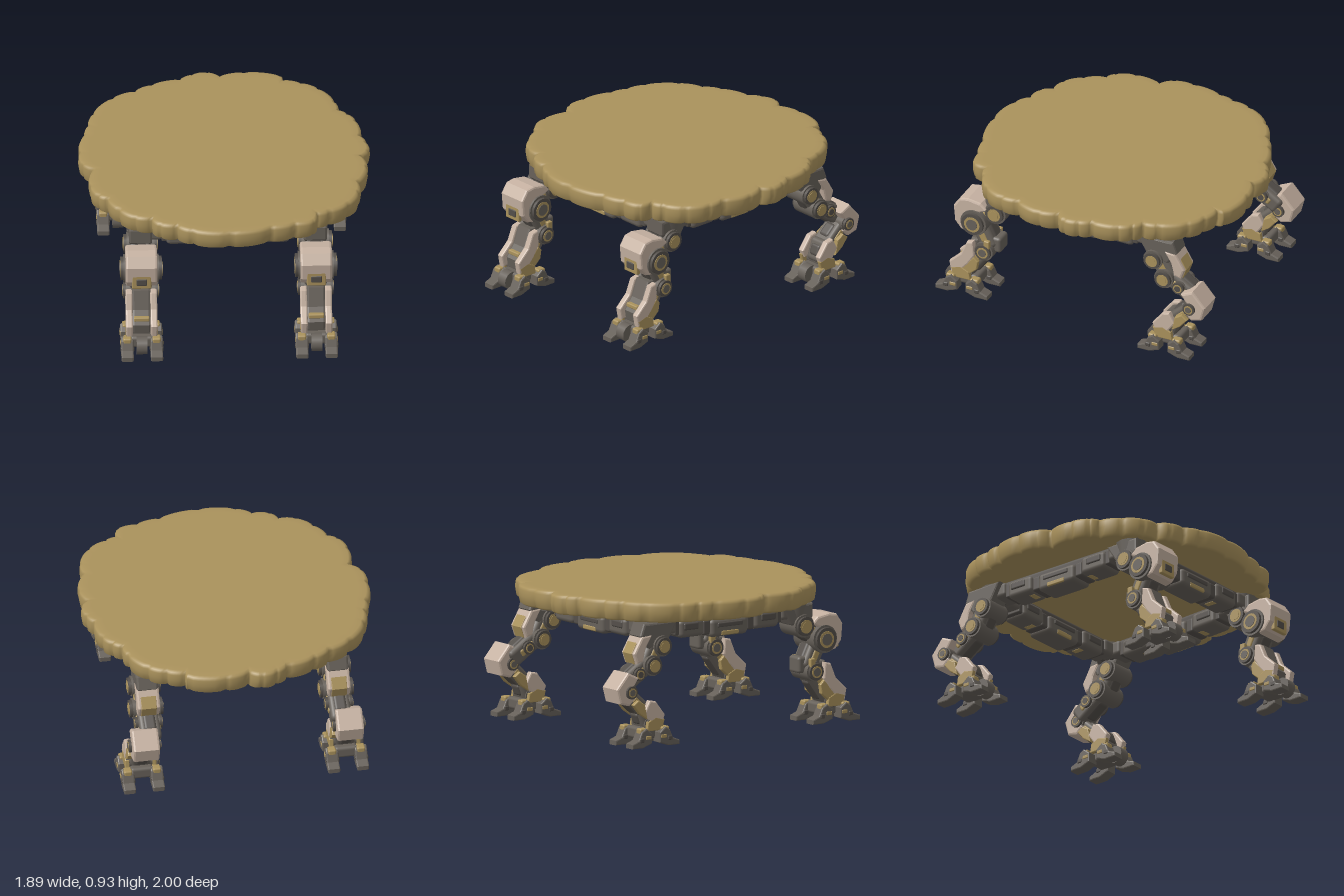
import * as THREE from 'three';
import { RoundedBoxGeometry } from 'three/addons/geometries/RoundedBoxGeometry.js';

const material = (name, color) => {
  const m = new THREE.MeshStandardMaterial({ color });
  m.name = name;
  return m;
};
const tan = material('tan', 0xaa925c);
const beige = material('beige', 0xc6b2a2);
const grey = material('grey', 0x67615a);
const dark = material('dark grey', 0x544f4a);

function add(parent, name, geometry, mat, x = 0, y = 0, z = 0) {
  const mesh = new THREE.Mesh(geometry, mat);
  mesh.name = name;
  mesh.position.set(x, y, z);
  parent.add(mesh);
  return mesh;
}

const box = (g, name, mat, w, h, d, x, y, z) =>
  add(g, name, new RoundedBoxGeometry(w, h, d, 2, Math.min(w, h, d) * 0.25), mat, x, y, z);

// Bevelled side profile of [z, y] points, extruded across x
function profile(g, name, mat, points, width, x = 0, bevel = 0.014) {
  const shape = new THREE.Shape(points.map(p => new THREE.Vector2(...p)));
  const geo = new THREE.ExtrudeGeometry(shape, {
    depth: width - 2 * bevel, bevelEnabled: true, bevelThickness: bevel,
    bevelSize: bevel, bevelOffset: -bevel, bevelSegments: 2,
  });
  geo.translate(0, 0, bevel - width / 2).rotateY(-Math.PI / 2);
  return add(g, name, geo, mat, x);
}

// Round joint with a thin tan ring and a core on both sides
function joint(g, name, z, y, r, width, core = grey) {
  const layers = [[r, -0.03, grey], [r * 0.84, 0.008, dark], [r * 0.6, 0.014, tan], [r * 0.42, 0.02, core]];
  for (const [radius, extra, mat] of layers)
    add(g, name, new THREE.CylinderGeometry(radius, radius, width + extra, 20).rotateZ(Math.PI / 2), mat, 0, y, z);
}

// Boxy link between two [z, y] points, with tan strips on its sides
function limb(g, name, a, b, width, thick) {
  const dz = b[0] - a[0], dy = b[1] - a[1], len = Math.hypot(dz, dy);
  const part = (mat, w, t, l) => {
    const m = box(g, name, mat, w, t, l, 0, (a[1] + b[1]) / 2, (a[0] + b[0]) / 2);
    m.rotation.x = -Math.atan2(dy, dz);
  };
  part(grey, width, thick, len + 0.04);
  part(tan, width + 0.014, thick * 0.4, len * 0.55);
  part(dark, width * 0.6, thick + 0.02, len * 0.7);
}

// Four-toed foot centred under the ankle
function makeFoot(z) {
  const foot = new THREE.Group();
  foot.name = 'foot';
  foot.position.z = z;
  box(foot, 'footHub', grey, 0.15, 0.08, 0.19, 0, 0.085, 0);
  joint(foot, 'ankle', 0, 0.14, 0.05, 0.18);
  for (const end of [1, -1]) {
    for (const side of [1, -1]) {
      const x = side * 0.095;
      const pts = [[0.03, 0.025], [0.03, 0.09], [0.075, 0.125], [0.11, 0.105], [0.135, 0.05], [0.187, 0.03], [0.187, 0], [0.1, 0]];
      const toe = pts.map(([a, b]) => [a * end, b]);
      profile(foot, 'toe', grey, toe, 0.08, x, 0.008);
      box(foot, 'toePanel', tan, 0.055, 0.045, 0.06, x, 0.103, end * 0.085);
      box(foot, 'toeSide', tan, 0.088, 0.025, 0.045, x, 0.065, end * 0.06);
      box(foot, 'toeKnuckle', dark, 0.09, 0.03, 0.035, x, 0.05, end * 0.11);
    }
  }
  add(foot, 'frontRoller', new THREE.CylinderGeometry(0.06, 0.06, 0.07, 16).rotateZ(Math.PI / 2), grey, 0, 0.07, 0.1);
  for (const side of [1, -1]) {
    const guard = [[-0.05, 0.1], [-0.04, 0.16], [0.02, 0.19], [0.09, 0.17], [0.07, 0.1]];
    profile(foot, 'ankleGuard', tan, guard, 0.03, side * 0.088, 0.006);
  }
  return foot;
}

function makeFrontLeg() {
  const g = new THREE.Group();
  g.name = 'frontLeg';
  profile(g, 'hipHousing', grey, [[0.42, 0.79], [0.67, 0.79], [0.67, 0.7], [0.6, 0.61], [0.5, 0.66]], 0.15);
  joint(g, 'hipJoint', 0.59, 0.645, 0.075, 0.21, tan);
  limb(g, 'thigh', [0.6, 0.65], [0.74, 0.56], 0.15, 0.13);
  joint(g, 'kneeJoint', 0.735, 0.55, 0.092, 0.26);
  profile(g, 'kneeArmour', beige, [[0.885, 0.64], [0.875, 0.53], [0.83, 0.475], [0.78, 0.465], [0.79, 0.58],
    [0.72, 0.62], [0.64, 0.655], [0.69, 0.7], [0.78, 0.715], [0.84, 0.705]], 0.205);
  box(g, 'kneePanel', tan, 0.125, 0.1, 0.03, 0, 0.53, 0.864);
  box(g, 'kneeSlot', dark, 0.07, 0.05, 0.03, 0, 0.53, 0.869);
  limb(g, 'lowerThigh', [0.73, 0.53], [0.65, 0.37], 0.15, 0.12);
  box(g, 'hockBlock', grey, 0.12, 0.11, 0.08, 0, 0.385, 0.605);
  joint(g, 'hockJoint', 0.67, 0.34, 0.065, 0.22);
  limb(g, 'shin', [0.68, 0.34], [0.82, 0.15], 0.14, 0.13);
  for (const side of [1, -1]) {
    profile(g, 'shinArmour', beige, [[0.745, 0.395], [0.79, 0.385], [0.83, 0.29], [0.915, 0.21], [0.9, 0.13],
      [0.85, 0.14], [0.78, 0.22], [0.735, 0.29]], 0.045, side * 0.08, 0.01);
    profile(g, 'shinPanel', tan, [[0.74, 0.28], [0.79, 0.225], [0.85, 0.15], [0.8, 0.12], [0.72, 0.19], [0.71, 0.25]], 0.035, side * 0.082, 0.006);
    box(g, 'hockPanel', tan, 0.03, 0.06, 0.04, side * 0.095, 0.4, 0.645);
  }
  profile(g, 'shinFront', grey, [[0.72, 0.4], [0.775, 0.4], [0.82, 0.28], [0.88, 0.2], [0.87, 0.14], [0.76, 0.16]], 0.12);
  box(g, 'shinBar', tan, 0.1, 0.03, 0.04, 0, 0.235, 0.85);
  g.add(makeFoot(0.813));
  return g;
}

// side is +1 on the left; the thigh sits closer to the middle than the foot
function makeBackLeg(side) {
  const g = new THREE.Group();
  g.name = 'backLeg';
  const thigh = new THREE.Group();
  thigh.name = 'backThigh';
  thigh.position.x = -0.045 * side;
  g.add(thigh);
  profile(thigh, 'hipHousing', grey, [[-0.44, 0.79], [-0.7, 0.79], [-0.73, 0.71], [-0.66, 0.62], [-0.52, 0.65]], 0.14);
  joint(thigh, 'hipJoint', -0.565, 0.635, 0.068, 0.2, tan);
  limb(thigh, 'upperThigh', [-0.58, 0.66], [-0.66, 0.52], 0.14, 0.13);
  joint(thigh, 'thighJoint', -0.645, 0.515, 0.068, 0.21, tan);
  profile(thigh, 'thighArmour', beige, [[-0.64, 0.715], [-0.72, 0.71], [-0.785, 0.6], [-0.76, 0.53], [-0.71, 0.545], [-0.69, 0.63]], 0.15);
  profile(thigh, 'thighPanel', tan, [[-0.75, 0.67], [-0.79, 0.6], [-0.765, 0.53], [-0.74, 0.6]], 0.1, 0, 0.004);
  limb(thigh, 'lowerThigh', [-0.66, 0.52], [-0.84, 0.4], 0.14, 0.12);
  joint(thigh, 'lowerThighJoint', -0.745, 0.465, 0.05, 0.17, dark);
  profile(g, 'kneeArmour', beige, [[-0.785, 0.455], [-0.87, 0.495], [-0.96, 0.39], [-0.935, 0.295], [-0.86, 0.275],
    [-0.81, 0.32], [-0.83, 0.39]], 0.175);
  joint(g, 'kneeJoint', -0.85, 0.365, 0.05, 0.2);
  limb(g, 'upperShin', [-0.84, 0.34], [-0.73, 0.24], 0.14, 0.1);
  limb(g, 'shin', [-0.72, 0.25], [-0.68, 0.14], 0.14, 0.12);
  for (const s of [1, -1]) {
    profile(g, 'shinArmour', beige, [[-0.71, 0.3], [-0.66, 0.29], [-0.59, 0.2], [-0.61, 0.15], [-0.7, 0.16],
      [-0.75, 0.23]], 0.045, s * 0.08, 0.01);
    profile(g, 'shinPanel', tan, [[-0.8, 0.31], [-0.75, 0.28], [-0.73, 0.18], [-0.79, 0.22], [-0.84, 0.28]], 0.035, s * 0.085, 0.006);
  }
  g.add(makeFoot(-0.684));
  return g;
}

// Segmented beam between two [x, z] corners
function makeBeam(a, b) {
  const g = new THREE.Group();
  g.name = 'frameBeam';
  const dx = b[0] - a[0], dz = b[1] - a[1], len = Math.hypot(dx, dz);
  g.position.set((a[0] + b[0]) / 2, 0, (a[1] + b[1]) / 2);
  g.rotation.y = -Math.atan2(dz, dx);
  box(g, 'beamCore', dark, len, 0.1, 0.13, 0, 0.75, 0);
  box(g, 'middleBlock', grey, 0.3, 0.12, 0.18, 0, 0.7, 0);
  box(g, 'middlePanel', tan, 0.14, 0.03, 0.188, 0, 0.665, 0);
  box(g, 'middleRidge', dark, 0.2, 0.03, 0.195, 0, 0.72, 0);
  for (const side of [1, -1]) {
    box(g, 'coupler', dark, 0.06, 0.1, 0.15, side * 0.175, 0.71, 0);
    box(g, 'longBlock', grey, 0.2, 0.12, 0.175, side * 0.3, 0.72, 0);
    box(g, 'blockPlate', dark, 0.12, 0.05, 0.19, side * 0.31, 0.735, 0);
    box(g, 'blockPanel', tan, 0.04, 0.02, 0.07, side * 0.24, 0.667, 0);
    box(g, 'endRib', dark, 0.04, 0.1, 0.14, side * 0.41, 0.73, 0);
    box(g, 'endBlock', grey, 0.1, 0.1, 0.165, side * 0.47, 0.745, 0);
  }
  return g;
}

// Uneven scalloped slab, built as stacked copies of one outline
function makeSlab() {
  const outline = [[-.08, -1], [0, -.95], [.16, -.99], [.4, -.94], [.41, -.89], [.53, -.85], [.64, -.78], [.74, -.62],
    [.76, -.52], [.82, -.47], [.87, -.39], [.89, -.21], [.93, -.13], [.94, -.03], [.89, .03], [.925, .16], [.86, .34],
    [.86, .46], [.785, .6], [.66, .68], [.58, .71], [.555, .8], [.43, .825], [.27, .865], [0, .92], [-.24, .885],
    [-.34, .82], [-.45, .8], [-.5, .73], [-.61, .71], [-.71, .61], [-.78, .48], [-.84, .44], [-.885, .32],
    [-.86, .13], [-.93, .06], [-.94, -.08], [-.9, -.29], [-.87, -.4], [-.84, -.53], [-.71, -.71], [-.56, -.79],
    [-.45, -.86], [-.26, -.92], [-.18, -.975]];
  // Each lobe runs between two creases
  const steps = 7, ring = [];
  outline.forEach(([x, z], i) => {
    const [x2, z2] = outline[(i + 1) % outline.length];
    const dx = x2 - x, dz = z2 - z;
    for (let k = 0; k < steps; k++) {
      const t = k / steps, arch = Math.sqrt(Math.sin(Math.PI * t)), bulge = arch * 0.07;
      ring.push({ x: x + dx * t + dz * bulge, z: z + dz * t - dx * bulge, crease: 1 - arch });
    }
  });
  // [height, scale, crease depth]
  const layers = [[0.8, 0, 0], [0.8, 0.83, 0], [0.801, 0.972, 0.02], [0.815, 0.992, 0.02], [0.865, 1, 0.012],
    [0.905, 0.999, 0.01], [0.922, 0.992, 0.01], [0.93, 0.972, 0.005], [0.93, 0.92, 0], [0.93, 0, 0]];
  const n = ring.length, pos = [], index = [];
  for (const [y, scale, depth] of layers)
    for (const { x, z, crease } of ring) {
      const s = scale - depth * crease;
      pos.push(x * s, y, z * s);
    }
  for (let j = 0; j < layers.length - 1; j++)
    for (let i = 0; i < n; i++) {
      const a = j * n + i, b = j * n + (i + 1) % n;
      index.push(a, a + n, b, b, a + n, b + n);
    }
  const geo = new THREE.BufferGeometry();
  geo.setAttribute('position', new THREE.Float32BufferAttribute(pos, 3));
  geo.setIndex(index);
  geo.computeVertexNormals();
  return geo;
}

export function createModel() {
  const model = new THREE.Group();
  model.name = 'leggedTable';
  add(model, 'slab', makeSlab(), tan);
  // Square frame joining the four hips
  const corners = [[0.55, 0.56], [0.58, -0.56], [-0.58, -0.56], [-0.55, 0.56]];
  corners.forEach((c, i) => {
    model.add(makeBeam(c, corners[(i + 1) % 4]));
    add(model, 'frameCorner', new THREE.CylinderGeometry(0.105, 0.095, 0.1, 12), grey, c[0], 0.75, c[1]);
  });
  for (const side of [1, -1]) {
    const front = makeFrontLeg(), back = makeBackLeg(side);
    front.position.x = side * 0.565;
    back.position.x = side * 0.67;
    model.add(front, back);
  }
  return model;
}
